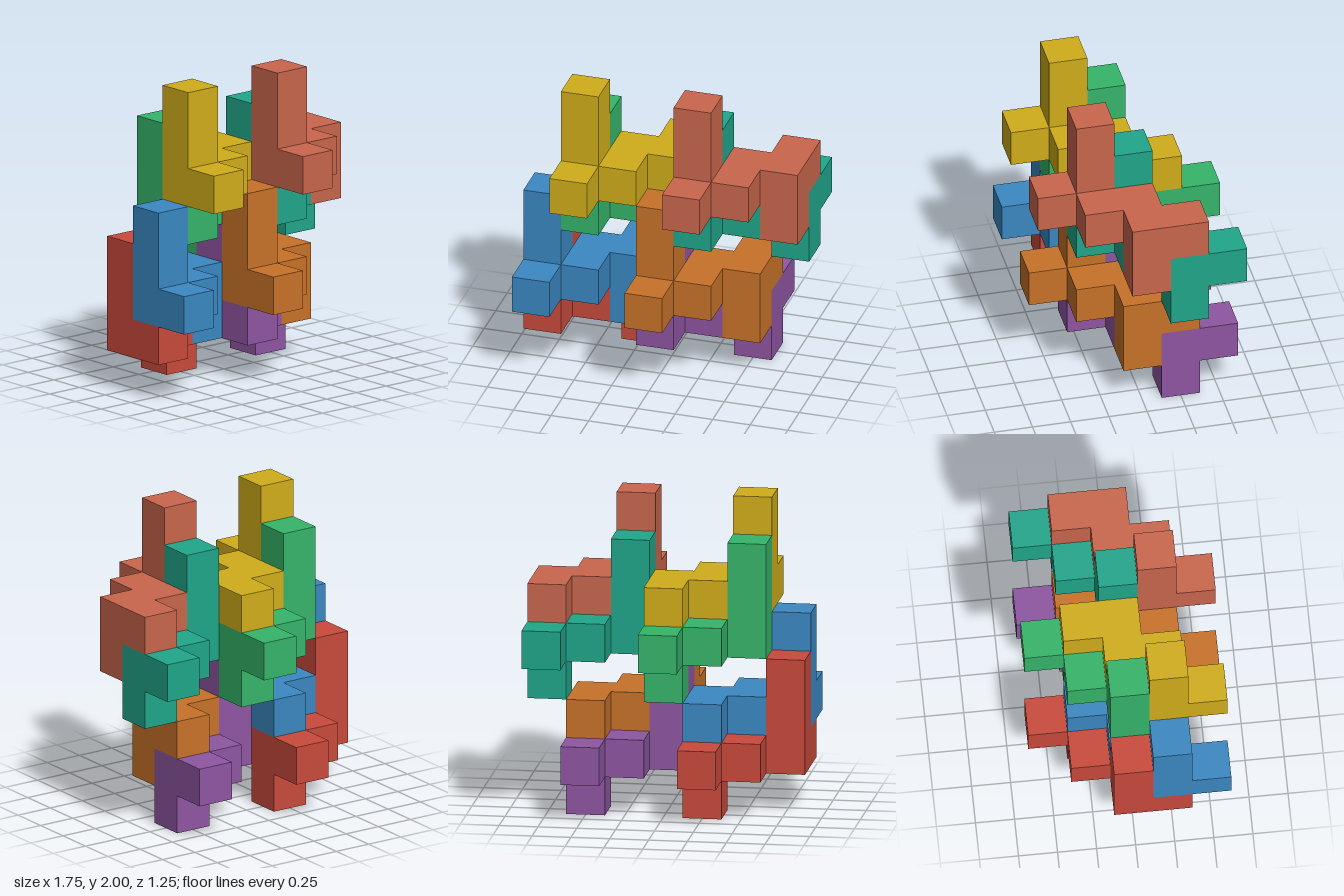
import * as THREE from 'three';
import { mergeGeometries, mergeVertices } from 'three/addons/utils/BufferGeometryUtils.js';

const U = 0.25; // edge of one unit cube

// Unit cubes of the interlocking piece, relative to the foot of its column
const CELLS = [
  [0, 0, 0], [0, 1, 0], [0, 2, 0], // column
  [0, 0, 1],                       // front stub
  [1, 0, 0], [1, 0, -1],           // stepped bridge
  [2, 0, -1], [2, -1, -1],         // far end with its foot
  [2, 0, -2],                      // back stub
];

// One square face pointing along each axis direction
const SIDES = [
  [1, 0, 0], [-1, 0, 0], [0, 1, 0], [0, -1, 0], [0, 0, 1], [0, 0, -1],
].map((dir) => {
  const normal = new THREE.Vector3(...dir);
  const turn = new THREE.Quaternion().setFromUnitVectors(new THREE.Vector3(0, 0, 1), normal);
  const face = new THREE.PlaneGeometry(U, U).translate(0, 0, U / 2).applyQuaternion(turn);
  return { dir, face };
});

// Outer skin of the piece: faces between neighbouring cubes are left out
function pieceGeometry() {
  const filled = new Set(CELLS.map(String));
  const faces = [];
  for (const cell of CELLS) {
    for (const { dir, face } of SIDES) {
      if (filled.has(String(cell.map((c, i) => c + dir[i])))) continue;
      faces.push(face.clone().translate(...cell.map((c) => c * U)));
    }
  }
  return mergeVertices(mergeGeometries(faces));
}

// Column foot of each copy, in grid steps
const PIECES = [
  ['salmonPiece', 0xc9664d, [4, 5, 3]],
  ['tealPiece', 0x20a68a, [4, 4, 2]],
  ['yellowPiece', 0xd0ad1a, [1, 5, 3]],
  ['greenPiece', 0x35b56a, [1, 4, 2]],
  ['orangePiece', 0xc87229, [3, 2, 3]],
  ['purplePiece', 0x8e55a1, [3, 1, 2]],
  ['bluePiece', 0x3a88c2, [0, 2, 3]],
  ['redPiece', 0xc94a3c, [0, 1, 2]],
];

export function createModel() {
  const group = new THREE.Group();
  group.name = 'interlockingPieces';
  const geometry = pieceGeometry();
  for (const [name, color, [i, j, k]] of PIECES) {
    const piece = new THREE.Mesh(geometry, new THREE.MeshStandardMaterial({ color }));
    piece.name = name;
    piece.position.set((i - 3) * U, (j + 0.5) * U, (k - 2) * U);
    group.add(piece);
  }
  return group;
}
